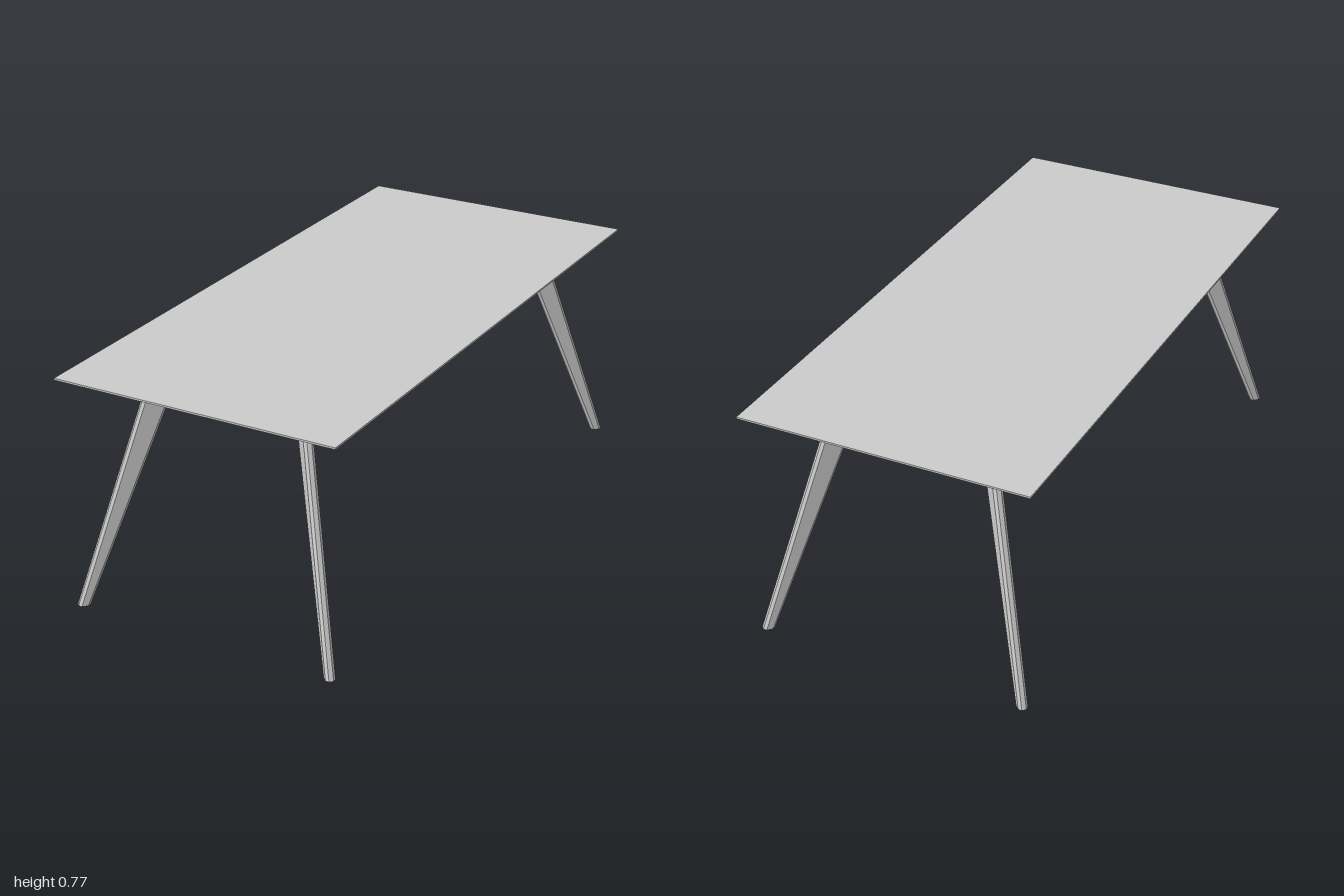
import * as THREE from 'three';

const material = new THREE.MeshStandardMaterial({ color: 0xcccccc, flatShading: true });

// Thin slab whose underside tapers out to a knife edge
function tableTop() {
  const top = 0.774, edge = 0.768, bottom = 0.742, inset = 0.2;
  const geo = new THREE.BoxGeometry(0.96, 2, 2, 1, 2, 1).toNonIndexed();
  const p = geo.attributes.position;
  for (let i = 0; i < p.count; i++) {
    const y = p.getY(i);
    if (y > 0.5) p.setY(i, top);
    else if (y > -0.5) p.setY(i, edge);
    else {
      p.setXYZ(i, p.getX(i) - Math.sign(p.getX(i)) * inset, bottom,
        p.getZ(i) - Math.sign(p.getZ(i)) * inset);
    }
  }
  geo.computeVertexNormals();
  return geo;
}

// Bent plate leg with chamfered long edges; local x points outward
function legGeometry() {
  const outline = [[0.643, 0], [0.386, 0.752], [0.059, 0.752], [0.059, 0.706], [0.334, 0.66], [0.605, 0]];
  const face = [[0.634, 0], [0.377, 0.752], [0.0675, 0.752], [0.0675, 0.713], [0.34, 0.6675], [0.614, 0]];
  const half = 0.0155, flat = 0.007;
  const rings = [[face, -half], [outline, -flat], [outline, flat], [face, half]];
  const n = outline.length;
  const positions = [], index = [];
  for (const [pts, w] of rings) for (const [u, y] of pts) positions.push(u, y, w);
  for (let r = 0; r < 3; r++) {
    for (let i = 0; i < n; i++) {
      const j = (i + 1) % n;
      const a = r * n + i, b = r * n + j;
      index.push(a, b, b + n, a, b + n, a + n);
    }
  }
  const tris = THREE.ShapeUtils.triangulateShape(face.map(([u, y]) => new THREE.Vector2(u, y)), []);
  for (const [a, b, c] of tris) {
    index.push(3 * n + a, 3 * n + b, 3 * n + c); // near side
    index.push(a, c, b); // far side
  }
  const indexed = new THREE.BufferGeometry();
  indexed.setAttribute('position', new THREE.Float32BufferAttribute(positions, 3));
  indexed.setIndex(index);
  const geo = indexed.toNonIndexed();
  geo.computeVertexNormals();
  return geo;
}

export function createModel() {
  const model = new THREE.Group();
  model.name = 'table';

  const top = new THREE.Mesh(tableTop(), material);
  top.name = 'tableTop';
  model.add(top);

  // Four legs splayed diagonally toward the corners
  const geo = legGeometry();
  for (const sz of [1, -1]) {
    for (const sx of [1, -1]) {
      const leg = new THREE.Mesh(geo, material);
      leg.name = (sz > 0 ? 'front' : 'back') + (sx > 0 ? 'Left' : 'Right') + 'Leg';
      leg.rotation.y = Math.atan2(-sz, sx);
      leg.position.set(-0.001, 0, sz * 0.535 - 0.004);
      model.add(leg);
    }
  }
  return model;
}
